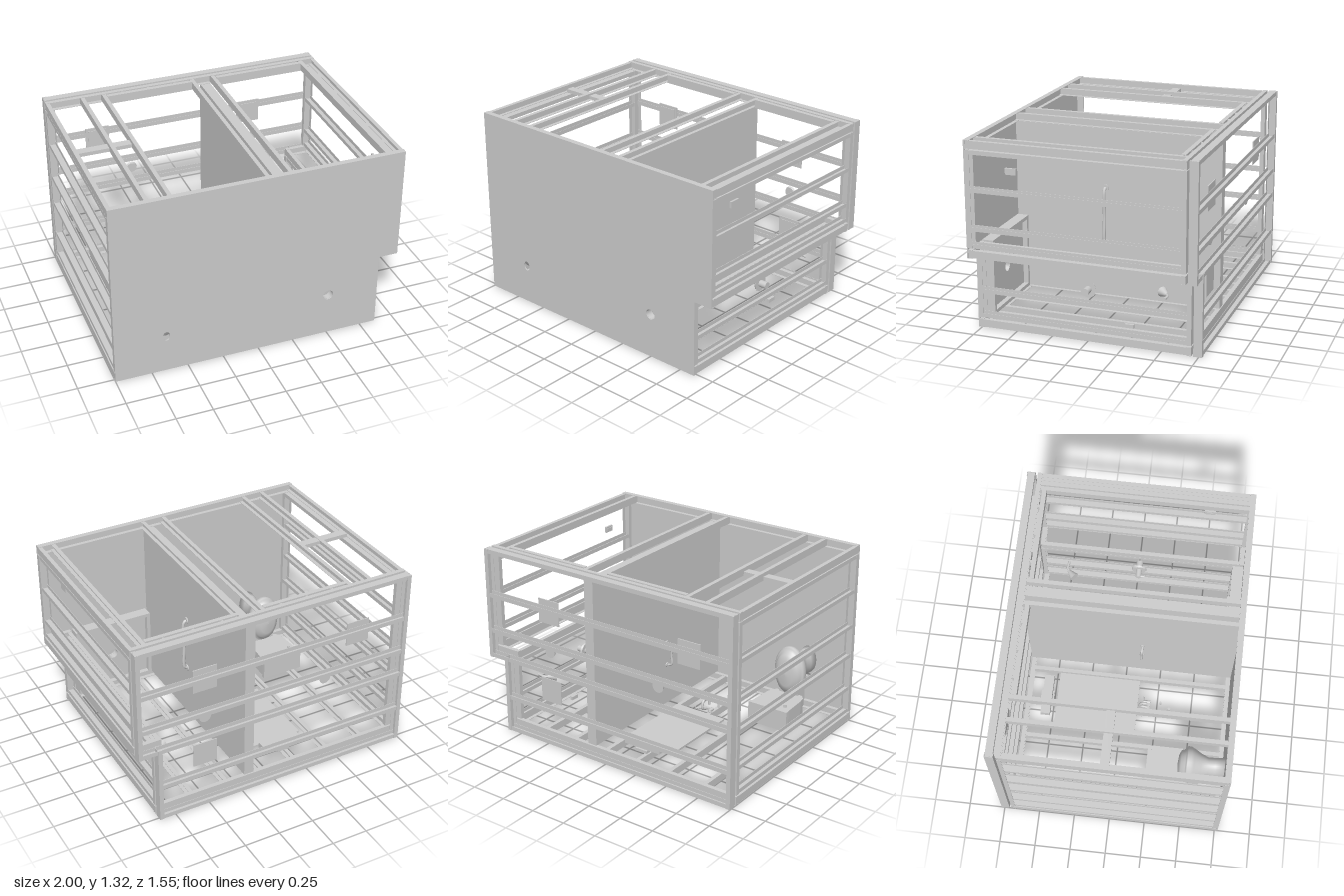
import * as THREE from 'three';

export function createModel() {
  const root = new THREE.Group();
  const mat = new THREE.MeshStandardMaterial({ color: 0xcccccc });
  const add = (name, geo, parent = root) => {
    const m = new THREE.Mesh(geo, mat);
    m.name = name;
    parent.add(m);
    return m;
  };
  const group = (name) => {
    const g = new THREE.Group();
    g.name = name;
    root.add(g);
    return g;
  };
  const polygon = (pts) => new THREE.Shape(pts.map(p => new THREE.Vector2(...p)));
  const extrude = (shape, depth) => new THREE.ExtrudeGeometry(shape, { depth, bevelEnabled: false, curveSegments: 24 });
  // Box from its limits
  const box = (name, x0, x1, y0, y1, z0, z1, parent) =>
    add(name, new THREE.BoxGeometry(x1 - x0, y1 - y0, z1 - z0), parent)
      .position.set((x0 + x1) / 2, (y0 + y1) / 2, (z0 + z1) / 2);
  // Round rod or cone between two points
  const rod = (name, a, b, r0, r1 = r0, parent = root) => {
    const p = new THREE.Vector3(...a), q = new THREE.Vector3(...b);
    const d = q.clone().sub(p);
    const m = add(name, new THREE.CylinderGeometry(r1, r0, d.length(), 24), parent);
    m.position.copy(p).add(q).multiplyScalar(0.5);
    m.quaternion.setFromUnitVectors(new THREE.Vector3(0, 1, 0), d.normalize());
  };
  const pipe = (name, pts, r, parent) => add(name, new THREE.TubeGeometry(
    new THREE.CatmullRomCurve3(pts.map(p => new THREE.Vector3(...p))), 24, r, 12), parent);
  // Thin steel U-channel filling the limits lo..hi, running along one axis (0, 1, 2)
  // and open towards sign * another axis
  const channel = (name, lo, hi, along, open, sign, parent) => {
    const size = lo.map((v, i) => hi[i] - v);
    const t = 0.003, w = size[open] / 2, h = size[3 - along - open] / 2;
    const geo = extrude(polygon([[-w, -h], [w, -h], [w, t - h], [t - w, t - h],
      [t - w, h - t], [w, h - t], [w, h], [-w, h]]), size[along]);
    geo.translate(0, 0, -size[along] / 2);
    const X = new THREE.Vector3().setComponent(open, sign);
    const Z = new THREE.Vector3().setComponent(along, 1);
    const m = add(name, geo, parent);
    m.quaternion.setFromRotationMatrix(new THREE.Matrix4().makeBasis(X, Z.clone().cross(X), Z));
    m.position.set(...lo.map((v, i) => (v + hi[i]) / 2));
  };

  // Floor panel with a notched corner and two drain holes
  const NX = 0.865;
  const floor = polygon([[-1, 0], [NX, 0], [NX, 0.53], [1, 0.53], [1, 1.32], [-1, 1.32]]);
  for (const [x, y, rx, ry] of [[-0.645, 0.275, 0.025, 0.034], [0.5, 0.31, 0.036, 0.036]])
    floor.holes.push(new THREE.Path().absellipse(x, y, rx, ry, 0, Math.PI * 2, true));
  add('floorPanel', extrude(floor, 0.008)).position.z = 0.765;

  // Wall frames: head and sole tracks along axis a (0 = x, 1 = y), studs along z between them
  const Z0 = -0.7, Z1 = 0.765, T = 0.03;
  const wall = (name, a, x0, x1, y0, y1, studs) => {
    const g = group(name);
    channel('headTrack', [x0, y0, Z0], [x1, y1, Z0 + T], a, 2, 1, g);
    channel('soleTrack', [x0, y0, Z1 - T], [x1, y1, Z1], a, 2, -1, g);
    const start = [x0, y0][a] + 0.015, end = [x1, y1][a] - 0.015;
    for (const s of [start, ...studs, end]) {
      const lo = [x0 + 0.004, y0 + 0.004, Z0 + 0.004], hi = [x1 - 0.004, y1 - 0.004, Z1 - 0.004];
      lo[a] = s - 0.014;
      hi[a] = s + 0.014;
      channel('stud', lo, hi, 2, a, s === end ? -1 : 1, g);
    }
    return g;
  };
  const doorWall = wall('doorWall', 0, -1, 1, 1.26, 1.32, [-0.74, -0.588, 0.058, 0.215, 0.89]);
  for (const [a, b] of [[-0.574, 0.044], [0.23, 0.876]]) {
    channel('header', [a, 1.26, -0.655], [b, 1.32, -0.625], 0, 2, -1, doorWall);
    for (const x of [a + 0.12, (a + b) / 2, b - 0.12])
      box('headerBlock', x - 0.01, x + 0.01, 1.265, 1.315, -0.67, -0.655, doorWall);
  }
  box('blocking', -0.971, -0.602, 1.264, 1.29, -0.05, 0.01, doorWall);
  wall('fixtureWall', 0, -1, NX, 0, 0.06, [-0.74, -0.457, -0.197, 0.058, 0.33, 0.59]);
  wall('shelfFrame', 0, 0.805, 1, 0.53, 0.588, []);
  wall('leftLowerWall', 1, 0.805, NX, 0.07, 0.525, [0.257]);
  wall('leftUpperWall', 1, 0.94, 1, 0.6, 1.255, [0.73, 0.99]);
  wall('rightWall', 1, -1, -0.94, 0.07, 1.255, [0.257, 0.51, 0.73, 0.99]);

  // Ceiling frame: rims at the ends, joists along x
  const ceiling = group('ceilingFrame');
  const C0 = -0.773, C1 = -0.715;
  for (const [x0, x1, y0, y1, s] of [[-1, -0.97, 0, 1.32, 1], [0.97, 1, 0.53, 1.32, -1], [NX - T, NX, 0, 0.56, -1]])
    channel('rim', [x0, y0, C0], [x1, y1, C1], 1, 0, s, ceiling);
  for (const [y, x1] of [[0.015, NX], [0.257, NX], [0.545, 1], [0.73, 1], [0.99, 1], [1.305, 1]])
    channel('joist', [-0.996, y - 0.015, C0 + 0.004], [x1 - 0.004, y + 0.015, C1 - 0.004], 0, 1, y > 1.2 ? -1 : 1, ceiling);

  // Ceiling vents and round lights
  for (const [x, y] of [[-0.64, 0.96], [0.5, 0.96], [0.5, 0.38]]) {
    box('ventPlate', x - 0.085, x + 0.085, y - 0.085, y + 0.085, -0.715, -0.708);
    box('ventGrille', x - 0.065, x + 0.065, y - 0.065, y + 0.065, -0.708, -0.703);
  }
  for (const x of [0.5, -0.4])
    rod('ceilingLight', [x, 0.67, -0.715], [x, 0.67, -0.702], 0.042, 0.036);

  // Partition
  box('partition', 0.13, 0.2, 0.07, 1.255, Z0, Z1);

  // Shower tray: slab with an open drain and a raised rim
  const tray = group('showerTray');
  const slab = polygon([[0.21, 0.07], [0.79, 0.07], [0.79, 0.59], [0.21, 0.59]]);
  slab.holes.push(new THREE.Path().absarc(0.5, 0.31, 0.036, 0, Math.PI * 2, true));
  add('trayBase', extrude(slab, 0.044), tray).position.z = 0.72;
  for (const x of [0.21, 0.765]) box('trayRim', x, x + 0.025, 0.07, 0.59, 0.685, 0.72, tray);
  for (const y of [0.07, 0.565]) box('trayRim', 0.235, 0.765, y, y + 0.025, 0.685, 0.72, tray);

  // Grab bar on the shower side, small pull on the other
  const bar = (name, x, face, y0, y1, z, r) => {
    const g = group(name);
    pipe('bar', [[face, y0, z], [x, y0 + 0.012, z], [x, (y0 + y1) / 2, z], [x, y1 - 0.012, z], [face, y1, z]], r, g);
    for (const y of [y0, y1])
      rod('flange', [face, y, z], [face + Math.sign(x - face) * 0.008, y, z], r * 2.2, r * 2.2, g);
  };
  bar('grabBar', 0.222, 0.2, 0.452, 0.842, 0.117, 0.011);
  bar('pullHandle', 0.09, 0.13, 0.37, 0.54, 0.11, 0.008);

  // Shower head and valve
  const shower = group('shower');
  pipe('showerArm', [[0.805, 0.34, -0.5], [0.75, 0.34, -0.505], [0.72, 0.34, -0.485]], 0.009, shower);
  rod('showerHead', [0.73, 0.34, -0.495], [0.685, 0.34, -0.45], 0.012, 0.034, shower);
  rod('valvePlate', [0.805, 0.34, 0.015], [0.793, 0.34, 0.015], 0.055, 0.05, shower);
  rod('valveStem', [0.795, 0.34, 0.015], [0.735, 0.34, 0.015], 0.022, 0.018, shower);
  rod('valveLever', [0.745, 0.34, 0.015], [0.745, 0.34, 0.06], 0.008, 0.006, shower);
  rod('valveBody', [0.805, 0.34, 0.015], [0.86, 0.34, 0.015], 0.024, 0.024, shower);
  box('soapHolder', 0.7, 0.72, 0.07, 0.095, -0.265, -0.205);

  // Mirror and lamp on the fixture wall
  box('mirror', -0.365, 0.025, 0.07, 0.085, -0.475, 0.11);
  box('lampShade', -0.31, -0.02, 0.09, 0.135, -0.58, -0.512);
  box('lampMount', -0.215, -0.12, 0.07, 0.09, -0.595, -0.5);

  // Basin tap with two levers, and supply stops below
  const tap = group('basinTap');
  box('tapBase', -0.215, -0.115, 0.07, 0.085, 0.18, 0.2, tap);
  pipe('spout', [[-0.165, 0.08, 0.18], [-0.165, 0.1, 0.13], [-0.165, 0.15, 0.14], [-0.165, 0.165, 0.18]], 0.01, tap);
  for (const s of [-1, 1]) {
    const x = -0.165 + s * 0.04;
    rod('tapPost', [x, 0.08, 0.2], [x, 0.08, 0.15], 0.012, 0.009, tap);
    rod('tapLever', [x, 0.08, 0.152], [x + s * 0.035, 0.08, 0.148], 0.005, 0.004, tap);
    rod('supplyStop', [x, 0.06, 0.275], [x, 0.09, 0.275], 0.008, 0.008, tap);
  }
  rod('wasteStub', [-0.165, 0.07, 0.34], [-0.165, 0.09, 0.34], 0.01, 0.01, tap);

  // Outlet and paper holder
  box('outletBox', 0.925, 0.94, 1.1, 1.142, 0.443, 0.517);
  box('outletFace', 0.92, 0.925, 1.11, 1.132, 0.457, 0.503);
  rod('paperHolder', [-0.94, 0.45, 0.46], [-0.88, 0.45, 0.46], 0.006);
  rod('paperHolderEnd', [-0.88, 0.45, 0.46], [-0.875, 0.45, 0.46], 0.01);

  // Toilet, standing on the floor panel with its tank on the fixture wall
  const toilet = group('toilet');
  const tank = add('tank', extrude(polygon([[-0.148, 0.25], [0.148, 0.25], [0.138, 0.44], [0.128, 0.49],
    [0.1, 0.52], [-0.1, 0.52], [-0.128, 0.49], [-0.138, 0.44]]), 0.14), toilet);
  tank.rotation.x = Math.PI / 2;
  tank.position.set(-0.645, 0.21, 0);
  box('tankLid', -0.8, -0.49, 0.065, 0.215, 0.222, 0.25, toilet);
  rod('flushLever', [-0.74, 0.21, 0.3], [-0.74, 0.23, 0.3], 0.01, 0.01, toilet);
  // Elongated bowl with its domed lid, turned so that its top faces -z
  const profile = [[0.001, 0.764], [0.066, 0.764], [0.062, 0.7], [0.06, 0.65], [0.08, 0.6], [0.108, 0.55], [0.118, 0.53],
    [0.12, 0.505], [0.112, 0.497], [0.1, 0.49], [0.09, 0.462], [0.06, 0.446], [0.001, 0.44]]
    .map(([r, z]) => new THREE.Vector2(r, -z));
  const bowl = add('bowl', new THREE.LatheGeometry(profile, 40), toilet);
  bowl.rotation.x = -Math.PI / 2;
  bowl.scale.z = 1.55;
  bowl.position.set(-0.645, 0.38, 0);
  box('bowlNeck', -0.72, -0.57, 0.1, 0.3, 0.5, 0.6, toilet);
  return root;
}
